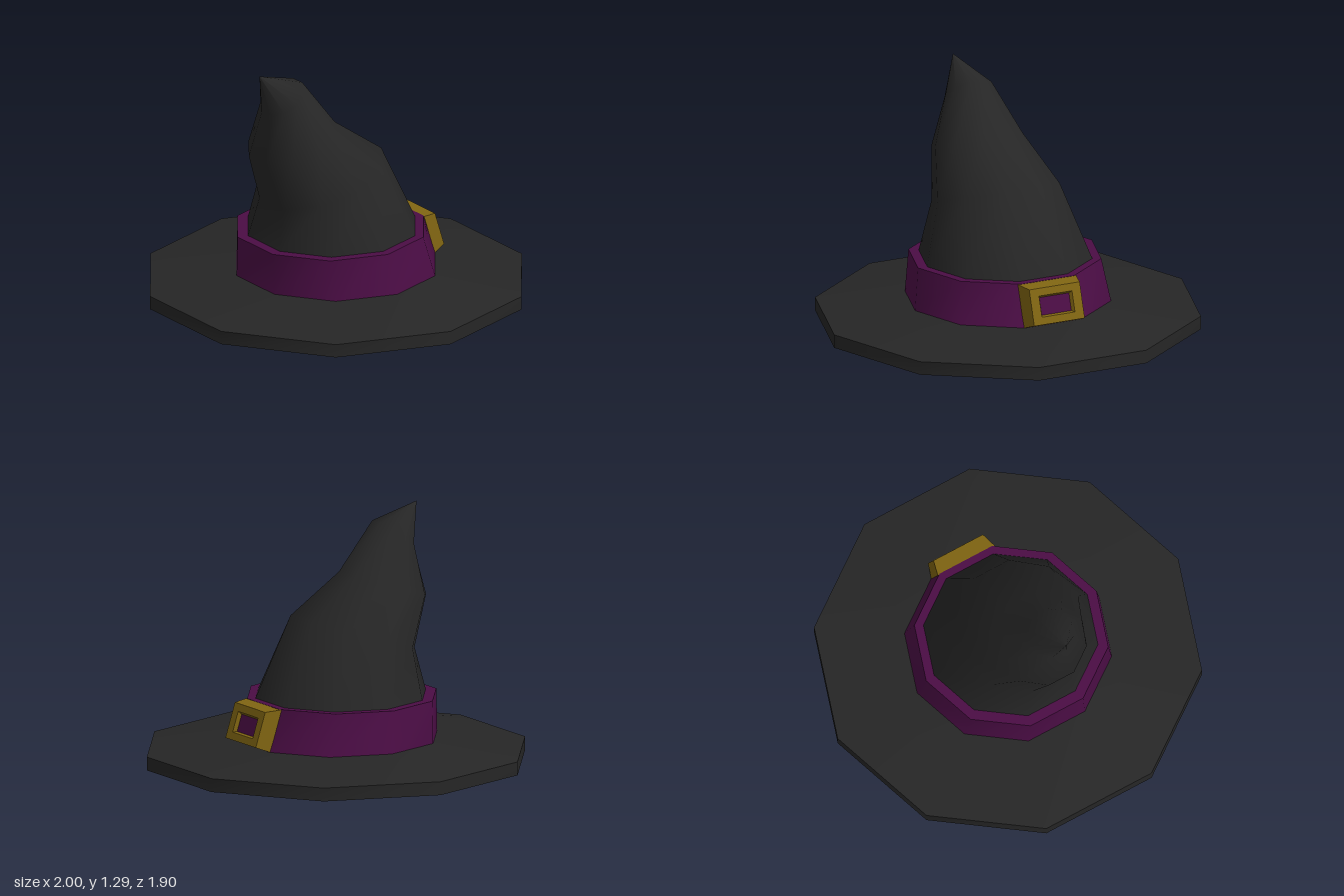
import * as THREE from 'three';

const SIDES = 10;

// Ten-sided ring; front and back edges can be tilted by "lift" (y at front minus y at centre).
// rx is the corner radius in x, rz the distance from centre to the front edge.
function ring(y, rx, { x = 0, z = 0, rz = rx * Math.cos(Math.PI / SIDES), lift = 0 } = {}) {
  const k = 1 / Math.cos(Math.PI / SIDES);
  return Array.from({ length: SIDES }, (_, i) => {
    const a = (i / SIDES) * Math.PI * 2;
    const s = -Math.sin(a) * k;
    return [x + rx * Math.cos(a), y + lift * s, z + rz * s];
  });
}

// Rectangle ring, counter-clockwise seen from +z
function rect(w, h, z, y = 0) {
  return [[w, y - h, z], [w, y + h, z], [-w, y + h, z], [-w, y - h, z]];
}

// Skin a stack of rings, sharing vertices so the surface shades smoothly
function loft(rings) {
  const n = rings[0].length;
  const index = [];
  for (let r = 0; r < rings.length - 1; r++) {
    for (let i = 0; i < n; i++) {
      const a = r * n + i, b = r * n + ((i + 1) % n);
      index.push(a, b, b + n, a, b + n, a + n);
    }
  }
  const geo = new THREE.BufferGeometry();
  geo.setAttribute('position', new THREE.Float32BufferAttribute(rings.flat(2), 3));
  geo.setIndex(index);
  geo.computeVertexNormals();
  return geo;
}

function flat(geo) {
  const g = geo.toNonIndexed();
  g.computeVertexNormals();
  return g;
}

function material(name, color) {
  const m = new THREE.MeshStandardMaterial({ color });
  m.name = name;
  return m;
}

function add(parent, name, geo, mat) {
  const mesh = new THREE.Mesh(geo, mat);
  mesh.name = name;
  parent.add(mesh);
  return mesh;
}

function group(parent, name) {
  const g = new THREE.Group();
  g.name = name;
  parent.add(g);
  return g;
}

export function createModel() {
  const hat = new THREE.Group();
  hat.name = 'witchHat';
  const black = material('black felt', 0x262626);
  const purple = material('purple ribbon', 0x4b0d45);
  const gold = material('dull gold', 0x806512);

  // Wide brim, sloping up to the crown
  const brim = group(hat, 'brim');
  add(brim, 'brimUnderside', loft([ring(0, 0), ring(0, 1)]), black);
  add(brim, 'brimEdge', loft([ring(0, 1), ring(0.07, 1)]), black);
  add(brim, 'brimTop', loft([ring(0.07, 1), ring(0.13, 0.53), ring(0.13, 0.4)]), black);

  // Crumpled crown, bending towards the front
  add(hat, 'crown', loft([
    ring(0.13, 0.5),
    ring(0.345, 0.45, { z: 0.028 }),
    ring(0.66, 0.335, { x: 0.015, z: 0.11, rz: 0.31, lift: -0.1 }),
    ring(0.89, 0.24, { x: 0.025, z: 0.298, rz: 0.217, lift: -0.07 }),
    ring(1.14, 0.128, { x: 0.04, z: 0.37, rz: 0.1, lift: -0.07 }),
    ring(1.29, 0, { x: 0.05, z: 0.52 }),
  ]), black);

  // Ribbon band with a flat top rim
  const band = group(hat, 'band');
  const bandTop = ring(0.345, 0.5, { z: 0.035 });
  add(band, 'bandSide', loft([ring(0.125, 0.535), bandTop]), purple);
  add(band, 'bandRim', loft([bandTop, ring(0.345, 0.44, { z: 0.028 })]), purple);

  // Buckle lying against the sloping back of the band
  const buckle = group(hat, 'buckle');
  buckle.position.set(0, 0.238, -0.475);
  buckle.rotation.set(-0.31, Math.PI, 0, 'YXZ');
  add(buckle, 'buckleFrame', flat(loft([
    rect(0.167, 0.113, -0.005),
    rect(0.145, 0.094, 0.074, -0.014),
    rect(0.095, 0.055, 0.074, -0.014),
    rect(0.085, 0.046, 0.055, -0.014),
  ])), gold);
  const inset = add(buckle, 'buckleInset', new THREE.PlaneGeometry(0.17, 0.092), purple);
  inset.position.set(0, -0.014, 0.055);

  return hat;
}
